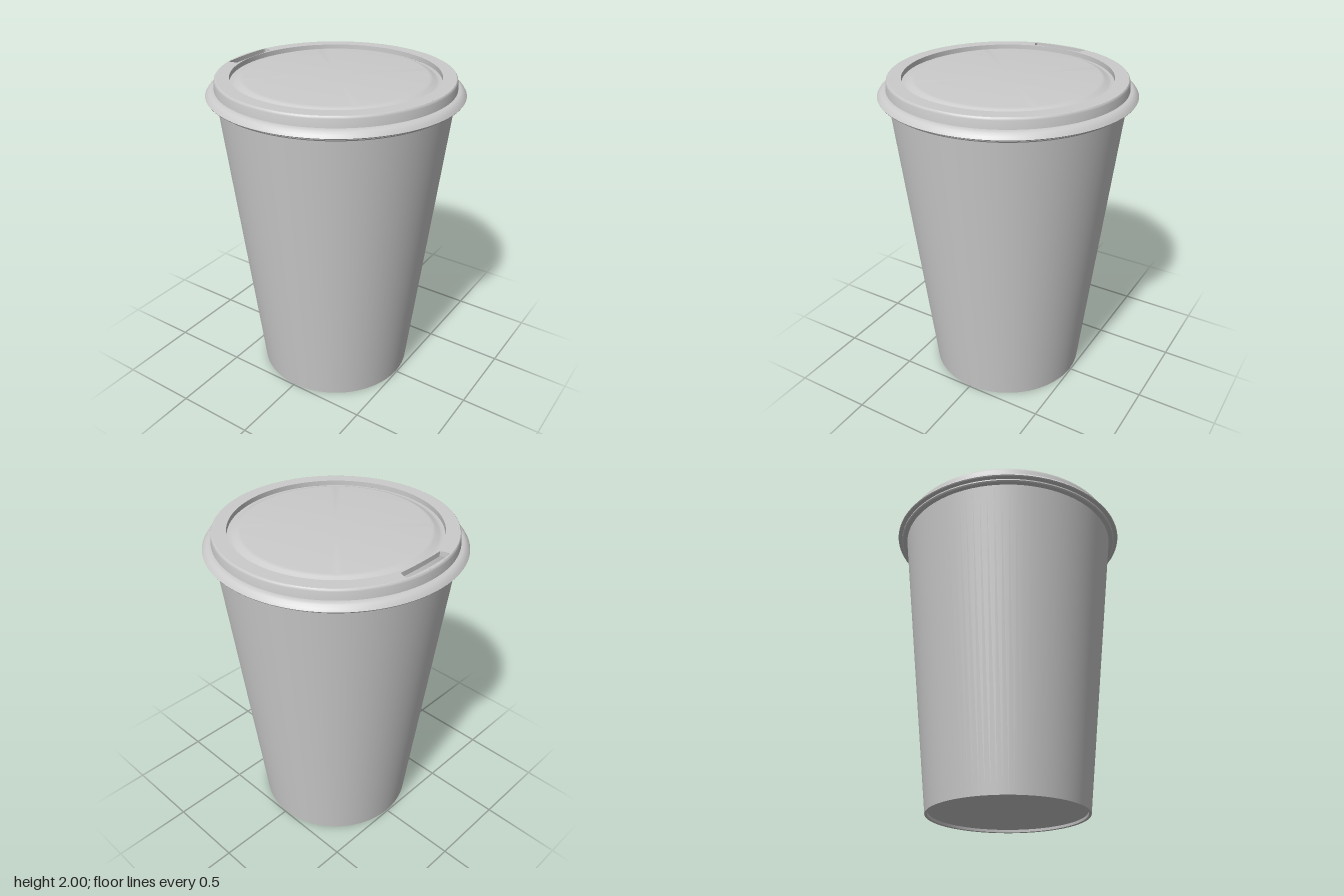
import * as THREE from 'three';
import { toCreasedNormals } from 'three/addons/utils/BufferGeometryUtils.js';

const SEGMENTS = 96;
const material = new THREE.MeshStandardMaterial({ color: 0xcccccc, side: THREE.DoubleSide });

function part(name, geometry, crease = 0.5) {
  const mesh = new THREE.Mesh(toCreasedNormals(geometry, crease), material);
  mesh.name = name;
  return mesh;
}

function lathe(name, points) {
  const profile = points.map(([r, y]) => new THREE.Vector2(r, y));
  return part(name, new THREE.LatheGeometry(profile, SEGMENTS));
}

// Gently curved drinking slot with rounded corners
function slotPath() {
  const p = new THREE.Path();
  p.moveTo(-0.615, -0.16);
  p.quadraticCurveTo(-0.624, 0, -0.615, 0.16);
  p.quadraticCurveTo(-0.64, 0.175, -0.66, 0.175);
  p.quadraticCurveTo(-0.67, 0.175, -0.672, 0.16);
  p.quadraticCurveTo(-0.69, 0, -0.672, -0.16);
  p.quadraticCurveTo(-0.67, -0.175, -0.66, -0.175);
  p.quadraticCurveTo(-0.64, -0.175, -0.615, -0.16);
  return p;
}

export function createModel() {
  const group = new THREE.Group();
  group.name = 'lidded cup';

  // Hollow tapered cup with a recessed base
  group.add(lathe('cup', [
    [0, 0.018], [0.474, 0.018], [0.476, 0.002], [0.48, 0], [0.492, 0],
    [0.702, 1.9], [0.688, 1.9], [0.48, 0.032], [0, 0.032],
  ]));

  const lid = new THREE.Group();
  lid.name = 'lid';
  group.add(lid);

  // Snap-on skirt: rolled lip, flared flange, upright wall, rounded shoulder
  lid.add(lathe('lidSkirt', [
    [0.698, 1.877], [0.715, 1.873], [0.728, 1.876], [0.734, 1.884], [0.734, 1.892],
    [0.757, 1.896], [0.761, 1.902], [0.752, 1.916], [0.738, 1.93], [0.725, 1.937],
    [0.709, 1.938], [0.705, 1.985], [0.703, 1.994], [0.699, 1.999], [0.695, 2],
  ]));

  // Flat drinking rim, pierced by the slot
  const ring = new THREE.Shape().absarc(0, 0, 0.695, 0, Math.PI * 2);
  ring.holes.push(new THREE.Path().absarc(0, 0, 0.617, 0, Math.PI * 2, true), slotPath());
  const rim = new THREE.ExtrudeGeometry(ring, { depth: 0.03, bevelEnabled: false, curveSegments: SEGMENTS });
  rim.rotateX(-Math.PI / 2).translate(0, 1.97, 0);
  lid.add(part('lidRim', rim));

  // Groove inside the rim rising to a low central plateau
  lid.add(lathe('lidCentre', [
    [0.617, 1.97], [0.597, 1.97], [0.586, 1.973], [0.562, 1.988], [0.55, 1.992], [0.54, 1.993], [0, 1.993],
  ]));

  return group;
}
